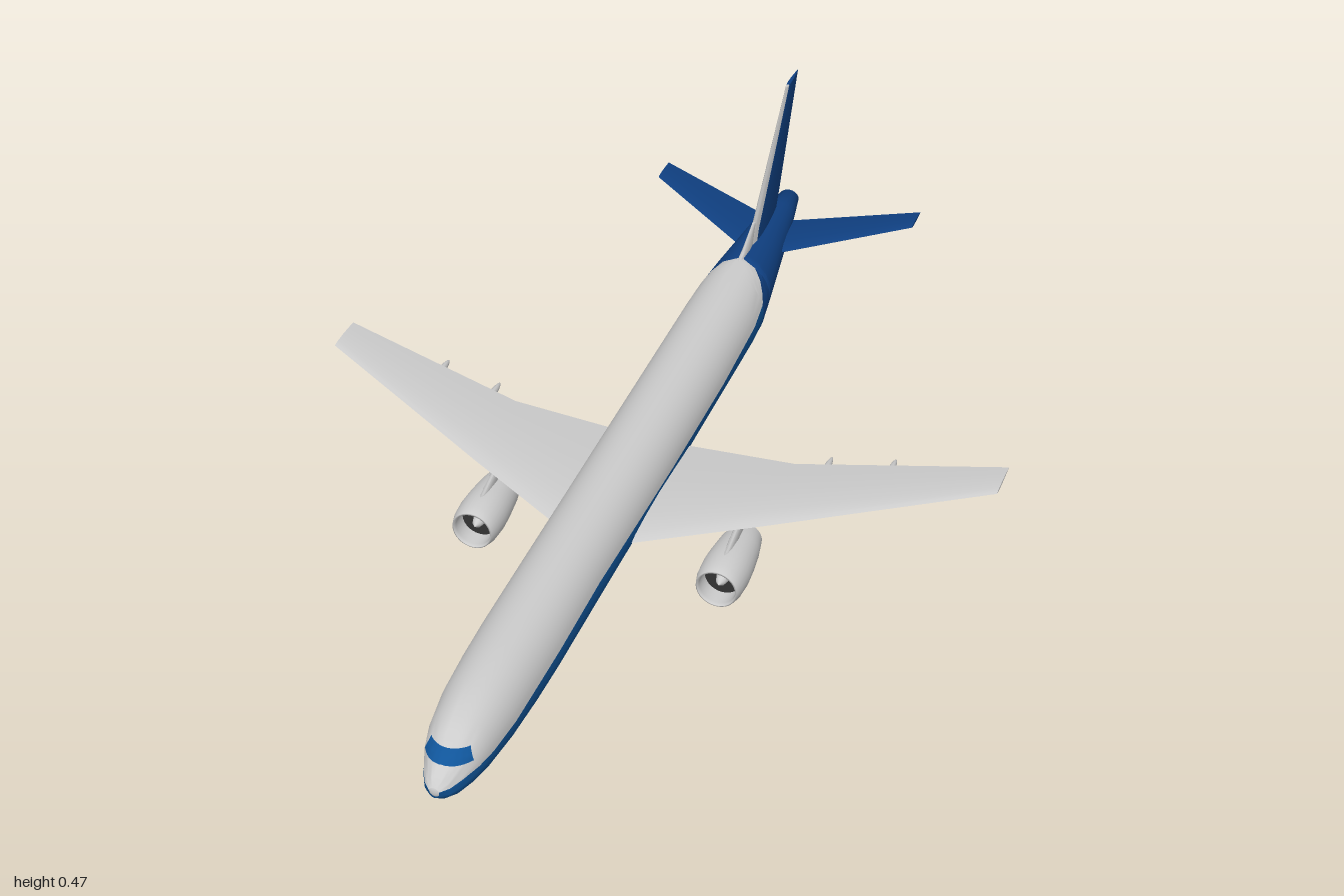
import * as THREE from 'three';
import { toCreasedNormals } from 'three/addons/utils/BufferGeometryUtils.js';

const paint = (color) => new THREE.MeshStandardMaterial({ color, side: THREE.DoubleSide });
const GREY = paint(0xcccccc), BLUE = paint(0x10559a), NAVY = paint(0x0f3f80), DARK = paint(0x333333);

// Linear lookup in rows [z, a, b, ...] ordered from nose to tail
function lookup(rows, z) {
  let i = 0;
  while (i < rows.length - 2 && z < rows[i + 1][0]) i++;
  const [p, q] = [rows[i], rows[i + 1]];
  const t = THREE.MathUtils.clamp((z - p[0]) / (q[0] - p[0]), 0, 1);
  return p.slice(1).map((v, k) => v + (q[k + 1] - v) * t);
}

// Skin through rings of [x, y, z] points, capped at both ends, faces turned outward
function loft(rings, { closed = true, caps = true, crease = 0.6 } = {}) {
  const tris = [], n = rings[0].length;
  for (let i = 0; i < rings.length - 1; i++) {
    for (let j = 0; j < (closed ? n : n - 1); j++) {
      const k = (j + 1) % n, a = rings[i], b = rings[i + 1];
      tris.push([a[j], b[j], b[k]], [a[j], b[k], a[k]]);
    }
  }
  if (caps) {
    const cap = (r, flip) => {
      const c = [0, 1, 2].map((d) => r.reduce((s, p) => s + p[d], 0) / n);
      r.forEach((p, j) => tris.push(flip ? [c, r[(j + 1) % n], p] : [c, p, r[(j + 1) % n]]));
    };
    cap(rings[0], false);
    cap(rings[rings.length - 1], true);
  }
  const ref = new THREE.Vector3(0, 0.12, 0);
  let volume = 0;
  const faces = tris.map((t) => t.map((p) => new THREE.Vector3(...p))).filter(([a, b, c]) => {
    const cross = b.clone().sub(a).cross(c.clone().sub(a));
    volume += cross.dot(a.clone().sub(ref));
    return cross.length() > 1e-10;
  });
  if (volume < 0) faces.forEach((f) => f.reverse());
  return toCreasedNormals(new THREE.BufferGeometry().setFromPoints(faces.flat()), crease);
}

// Airfoil loop of [z, h]; f0..f1 picks a part of the chord
function foil(le, te, half, f0 = 0, f1 = 1) {
  const shape = [[1, 0], [0.95, 0.5], [0.8, 0.9], [0.55, 1], [0.25, 0.6], [0, 0.08]];
  const fr = [0, 0.05, 0.2, 0.45, 0.75, 1].map((f) => f0 + (f1 - f0) * f);
  const up = fr.map((f) => [le + (te - le) * f, half * lookup(shape, 1 - f)[0]]);
  return [...up, ...up.slice().reverse().map(([z, h]) => [z, -h])];
}
// Sections: [x, y, leading z, trailing z, half thickness]
const flatWing = (secs, s) => loft(secs.map(([x, y, le, te, h]) =>
  foil(le, te, h).map(([z, d]) => [x * s, y + d, z])));
// Sections: [y, leading z, trailing z, half thickness, from, to]
const uprightWing = (secs, x = 0) => loft(secs.map(([y, le, te, h, f0, f1]) =>
  foil(le, te, h, f0, f1).map(([z, d]) => [x + d, y, z])));

// Fuselage: z, top, bottom, half width
const BODY = [
  [1, 0.12, 0.097, 0.01], [0.985, 0.132, 0.083, 0.025], [0.96, 0.144, 0.07, 0.038],
  [0.92, 0.179, 0.058, 0.053], [0.88, 0.194, 0.053, 0.063], [0.8, 0.206, 0.049, 0.073],
  [0.7, 0.209, 0.046, 0.078], [0.6, 0.21, 0.045, 0.08], [-0.5, 0.21, 0.045, 0.08],
  [-0.57, 0.21, 0.047, 0.078], [-0.65, 0.21, 0.063, 0.068], [-0.8, 0.203, 0.1, 0.048],
  [-0.9, 0.195, 0.125, 0.034], [-0.97, 0.185, 0.145, 0.022], [-0.98, 0.176, 0.154, 0.01],
];
// Height of the paint line along the fuselage
const LINE = [[1, 0.112], [0.9, 0.122], [0.7, 0.137], [0.4, 0.142], [0, 0.128], [-0.3, 0.126],
  [-0.5, 0.138], [-0.565, 0.152], [-0.64, 0.211], [-1, 0.211]];

function bodyAt(z) {
  const [top, bottom, rx] = lookup(BODY, z);
  return { cy: (top + bottom) / 2, ry: (top - bottom) / 2, rx };
}
function bodyArc(z, upper) {
  const { cy, ry, rx } = bodyAt(z), n = 20;
  const a = Math.asin(THREE.MathUtils.clamp((lookup(LINE, z)[0] - cy) / ry, -1, 1));
  const [from, to] = upper ? [a, Math.PI - a] : [Math.PI - a, 2 * Math.PI + a];
  return Array.from({ length: n + 1 }, (_, i) => {
    const t = from + (to - from) * i / n;
    return [rx * Math.cos(t), cy + ry * Math.sin(t), z];
  });
}
// Point on the nose skin seen straight ahead at (x, y), lifted slightly
function onNose(x, y) {
  let lo = 0.7, hi = 1;
  for (let i = 0; i < 30; i++) {
    const z = (lo + hi) / 2, { cy, ry, rx } = bodyAt(z);
    if ((x / rx) ** 2 + ((y - cy) / ry) ** 2 < 1) lo = z; else hi = z;
  }
  return [x * 1.02, y + 0.001, lo + 0.002];
}

export function createModel() {
  const model = new THREE.Group();
  const add = (name, geometry, material, parent = model) => {
    const mesh = new THREE.Mesh(geometry, material);
    mesh.name = name;
    parent.add(mesh);
    return mesh;
  };

  // Fuselage skins
  const stations = [...BODY.map((r) => r[0]), 0.4, 0.2, 0, -0.3, -0.565, -0.585, -0.605, -0.625, -0.64]
    .sort((a, b) => b - a);
  const skin = (keep, upper) => loft(stations.filter(keep).map((z) => bodyArc(z, upper)),
    { closed: false, caps: false, crease: 0.9 });
  add('fuselageCrown', skin((z) => z >= -0.64, true), GREY);
  add('fuselageBelly', skin((z) => z >= -0.565, false), BLUE);
  add('fuselageTail', skin((z) => z <= -0.565, false), NAVY);
  for (const [name, z, r, mat] of [['noseTip', 1, 0.011, GREY], ['tailTip', -0.98, 0.0105, NAVY]]) {
    const tip = add(name, new THREE.SphereGeometry(1, 16, 10), mat);
    tip.scale.set(r, r, 0.004);
    tip.position.set(0, bodyAt(z).cy, z - Math.sign(z) * 0.004);
  }

  // Cockpit windows wrapped on the nose
  const rows = [0, 0.25, 0.5, 0.75, 1].map((v) => Array.from({ length: 17 }, (_, i) => {
    const u = i / 8 - 1;
    return onNose(u * (0.046 - 0.009 * v), 0.139 + 0.024 * v + 0.004 * (1 - Math.abs(u)) * (1 - v));
  }));
  add('cockpitWindows', loft(rows, { closed: false, caps: false }), BLUE);

  // Fin with a pale leading edge and a dorsal fillet
  const fin = [[0.18, -0.665, -0.865, 0.011], [0.23, -0.7, -0.89, 0.009], [0.475, -0.918, -1, 0.004]];
  const split = [0.2, 0.18, 0.16];
  add('finLeadingEdge', uprightWing(fin.map((s, i) => [...s, 0, split[i]])), GREY);
  add('fin', uprightWing(fin.map((s, i) => [...s, split[i], 1])), NAVY);
  add('dorsalFillet', uprightWing([[0.2, -0.59, -0.75, 0.008], [0.217, -0.645, -0.75, 0.006],
    [0.25, -0.71, -0.75, 0.003]]), GREY);

  for (const [side, s] of [['left', 1], ['right', -1]]) {
    // Wing, kinked at the trailing edge
    add(side + 'Wing', flatWing([[0.04, 0.105, 0.25, -0.1, 0.017], [0.3, 0.122, 0.112, -0.1, 0.01],
      [0.71, 0.153, -0.11, -0.2, 0.003]], s), GREY);
    add(side + 'Stabilizer', flatWing([[0.01, 0.155, -0.735, -0.885, 0.009],
      [0.295, 0.176, -0.93, -0.996, 0.003]], s), NAVY);

    // Flap track fairings
    for (const [x, y, z] of [[0.225, 0.101, -0.06], [0.36, 0.112, -0.1], [0.485, 0.122, -0.125]]) {
      const pod = add(side + 'FlapFairing', new THREE.SphereGeometry(1, 10, 12).rotateX(Math.PI / 2), GREY);
      pod.scale.set(0.008, 0.01, 0.06);
      pod.position.set(x * s, y, z);
    }

    // Engine: hollow nacelle, fan, spinner, exhaust plug
    const engine = new THREE.Group();
    engine.name = side + 'Engine';
    engine.position.set(0.255 * s, 0.05, 0);
    model.add(engine);
    const lathe = (name, pts, mat) => add(name, new THREE.LatheGeometry(
      pts.map(([r, z]) => new THREE.Vector2(r, z)), 28).rotateX(Math.PI / 2), mat, engine);
    lathe('nacelle', [[0.03, 0.12], [0.031, 0.066], [0.034, 0.065], [0.042, 0.105], [0.047, 0.15],
      [0.049, 0.185], [0.047, 0.22], [0.042, 0.239], [0.039, 0.24], [0.037, 0.232], [0.037, 0.19]], GREY);
    lathe('fan', [[0.037, 0.2], [0.012, 0.2]], DARK);
    lathe('spinner', [[0.013, 0.2], [0.009, 0.215], [0, 0.226]], GREY);
    lathe('exhaust', [[0, 0.068], [0.01, 0.085], [0.016, 0.11], [0.031, 0.112]], DARK);
    add(side + 'Pylon', uprightWing([[0.085, 0.21, 0.07, 0.007], [0.1, 0.19, 0.03, 0.007],
      [0.12, 0.12, -0.02, 0.006]], 0.255 * s), GREY);
  }
  return model;
}
